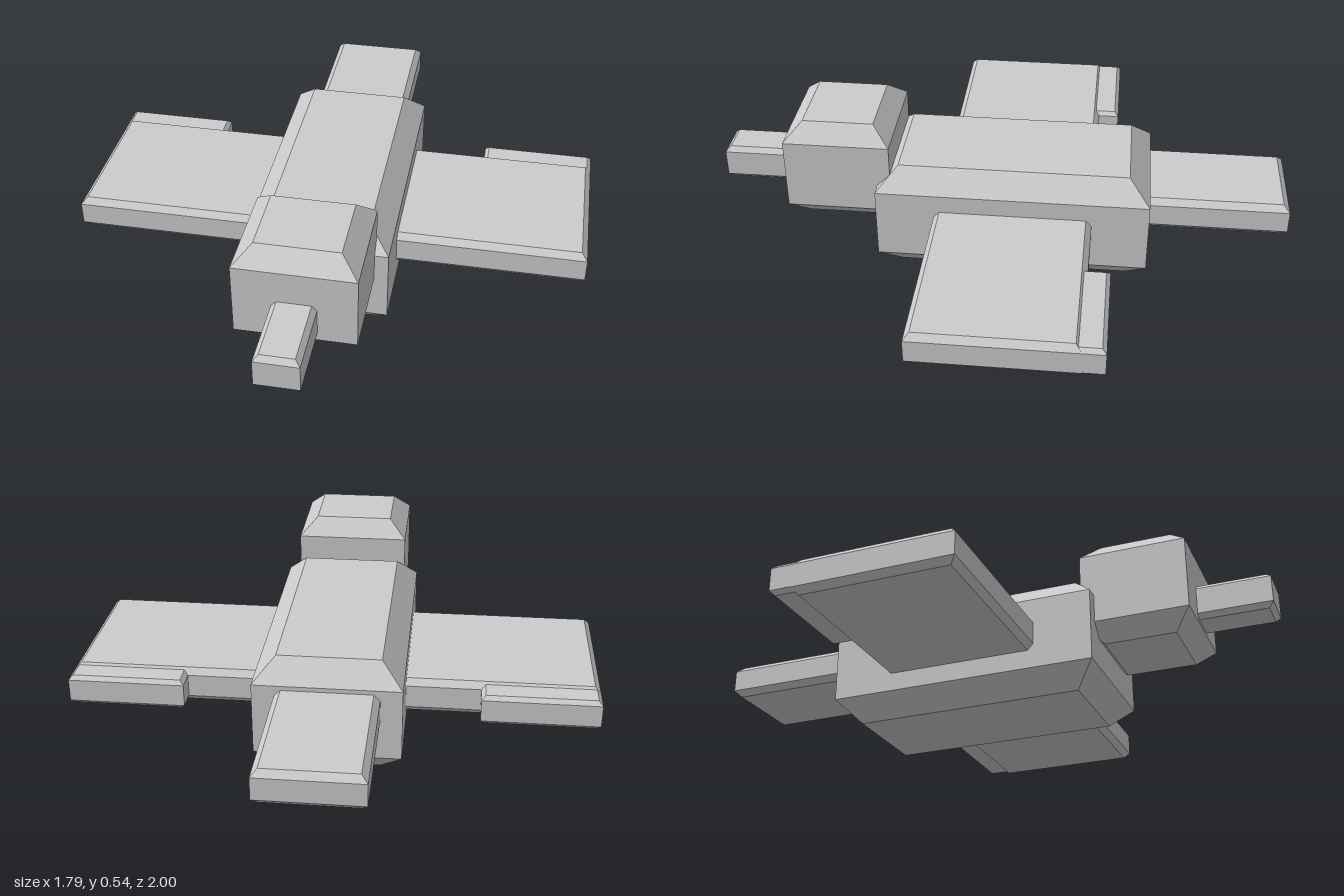
import * as THREE from 'three';

const material = new THREE.MeshStandardMaterial({ color: 0xcccccc, flatShading: true });

// Box whose top and bottom edges are bevelled: inset sideways by `inset`, vertically by `rise`.
function bevelledBox(name, [x0, x1], [y0, y1], [z0, z1], inset, rise) {
  const w = x1 - x0, h = y1 - y0, d = z1 - z0;
  const geometry = new THREE.BoxGeometry(w, h, d, 1, 3, 1);
  const p = geometry.attributes.position;
  for (let i = 0; i < p.count; i++) {
    const y = p.getY(i);
    if (Math.abs(y) > h * 0.4) {
      // outer rows become the smaller top and bottom faces
      p.setX(i, Math.sign(p.getX(i)) * (w / 2 - inset));
      p.setZ(i, Math.sign(p.getZ(i)) * (d / 2 - inset));
    } else {
      p.setY(i, Math.sign(y) * (h / 2 - rise));
    }
  }
  geometry.computeVertexNormals();
  const mesh = new THREE.Mesh(geometry, material);
  mesh.name = name;
  mesh.position.set((x0 + x1) / 2, (y0 + y1) / 2, (z0 + z1) / 2);
  return mesh;
}

export function createModel() {
  const bird = new THREE.Group();
  bird.name = 'bird';

  bird.add(
    bevelledBox('body', [-0.247, 0.247], [0, 0.402], [-0.522, 0.425], 0.073, 0.075),
    bevelledBox('head', [-0.2, 0.2], [0.168, 0.54], [0.378, 0.747], 0.061, 0.06),
    bevelledBox('beak', [-0.074, 0.072], [0.24, 0.366], [0.65, 1], 0.017, 0.017),
    bevelledBox('tail', [-0.174, 0.172], [0.193, 0.312], [-1, -0.45], 0.021, 0.021)
  );

  // Wings with a short feather block along the outer trailing edge
  for (const [side, s] of [['left', 1], ['right', -1]]) {
    const span = (a, b) => (s > 0 ? [a, b] : [-b, -a]);
    const wing = new THREE.Group();
    wing.name = side + 'Wing';
    wing.add(
      bevelledBox(side + 'WingPanel', span(0.15, 0.897), [0.14, 0.263], [-0.326, 0.222], 0.02, 0.022),
      bevelledBox(side + 'WingFeather', span(0.5, 0.897), [0.15, 0.255], [-0.4, -0.26], 0.014, 0.014)
    );
    bird.add(wing);
  }
  return bird;
}
